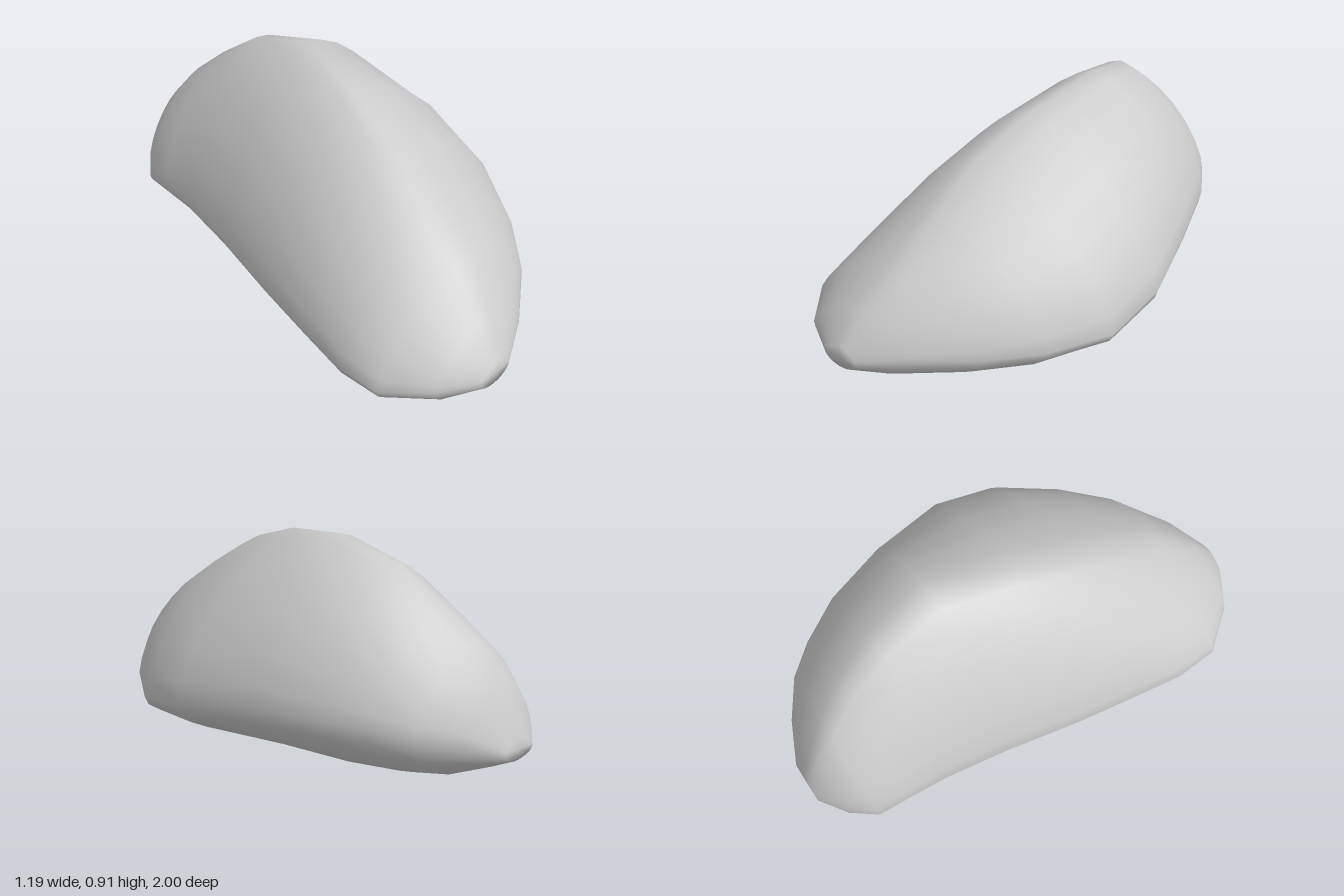
import * as THREE from 'three';

// Cross-sections from front to back:
// z, left x y, top x y, right x y, bottom x y
const SECTIONS = [
  [1.00, -0.31, 0.15, -0.22, 0.20, -0.15, 0.15, -0.23, 0.10],
  [0.91, -0.46, 0.15, -0.19, 0.33, 0.02, 0.18, -0.25, 0.05],
  [0.75, -0.59, 0.13, -0.12, 0.48, 0.24, 0.19, -0.22, 0.02],
  [0.57, -0.60, 0.13, -0.10, 0.60, 0.41, 0.19, -0.15, 0.00],
  [0.34, -0.57, 0.15, -0.08, 0.745, 0.555, 0.20, -0.10, 0.01],
  [0.08, -0.535, 0.18, -0.03, 0.845, 0.59, 0.27, -0.05, 0.02],
  [-0.25, -0.47, 0.19, 0.04, 0.91, 0.515, 0.34, 0.00, 0.045],
  [-0.52, -0.43, 0.20, 0.00, 0.84, 0.43, 0.35, 0.00, 0.06],
  [-0.70, -0.415, 0.19, -0.04, 0.71, 0.33, 0.34, -0.05, 0.065],
  [-0.82, -0.405, 0.18, -0.09, 0.60, 0.24, 0.32, -0.10, 0.08],
  [-0.92, -0.33, 0.18, -0.13, 0.47, 0.10, 0.29, -0.13, 0.125],
  [-1.00, -0.22, 0.20, -0.14, 0.26, -0.05, 0.22, -0.13, 0.17],
];
const STEPS = 7; // points per quarter of a ring

// One closed ring, counter-clockwise from the front: right, top, left, bottom
function ring([z, lx, ly, tx, ty, rx, ry, bx, by]) {
  // each quarter: side point, top or bottom point, roundness, direction
  const quarters = [
    [rx, ry, tx, ty, 1.57, false],
    [lx, ly, tx, ty, 1.47, true],
    [lx, ly, bx, by, 2.1, false],
    [rx, ry, bx, by, 1.9, true],
  ];
  const points = [];
  for (const [sx, sy, px, py, n, reverse] of quarters) {
    for (let i = 0; i < STEPS; i++) {
      const a = ((reverse ? STEPS - i : i) / STEPS) * Math.PI / 2;
      const c = Math.pow(Math.max(0, Math.cos(a)), 2 / n);
      const s = Math.pow(Math.max(0, Math.sin(a)), 2 / n);
      points.push([px + (sx - px) * c, sy + (py - sy) * s, z]);
    }
  }
  return points;
}

// Skin over the rings, closed by a fan at each end
function skin(rings) {
  const n = rings[0].length;
  const positions = rings.flat(2);
  const index = [];
  for (let r = 0; r < rings.length - 1; r++) {
    for (let i = 0; i < n; i++) {
      const j = (i + 1) % n;
      const a = r * n + i, b = r * n + j;
      index.push(a, a + n, b, b, a + n, b + n);
    }
  }
  for (const r of [0, rings.length - 1]) {
    const centre = positions.length / 3;
    for (let k = 0; k < 3; k++) {
      positions.push(rings[r].reduce((sum, p) => sum + p[k], 0) / n);
    }
    for (let i = 0; i < n; i++) {
      const a = r * n + i, b = r * n + (i + 1) % n;
      if (r === 0) index.push(centre, a, b);
      else index.push(centre, b, a);
    }
  }
  const geometry = new THREE.BufferGeometry();
  geometry.setAttribute('position', new THREE.Float32BufferAttribute(positions, 3));
  geometry.setIndex(index);
  geometry.computeVertexNormals();
  return geometry;
}

export function createModel() {
  const group = new THREE.Group();
  group.name = 'boulder';

  // Smooth weathered stone
  const stone = new THREE.Mesh(
    skin(SECTIONS.map(ring)),
    new THREE.MeshStandardMaterial({ color: 0xcccccc })
  );
  stone.name = 'stone';
  group.add(stone);
  return group;
}
